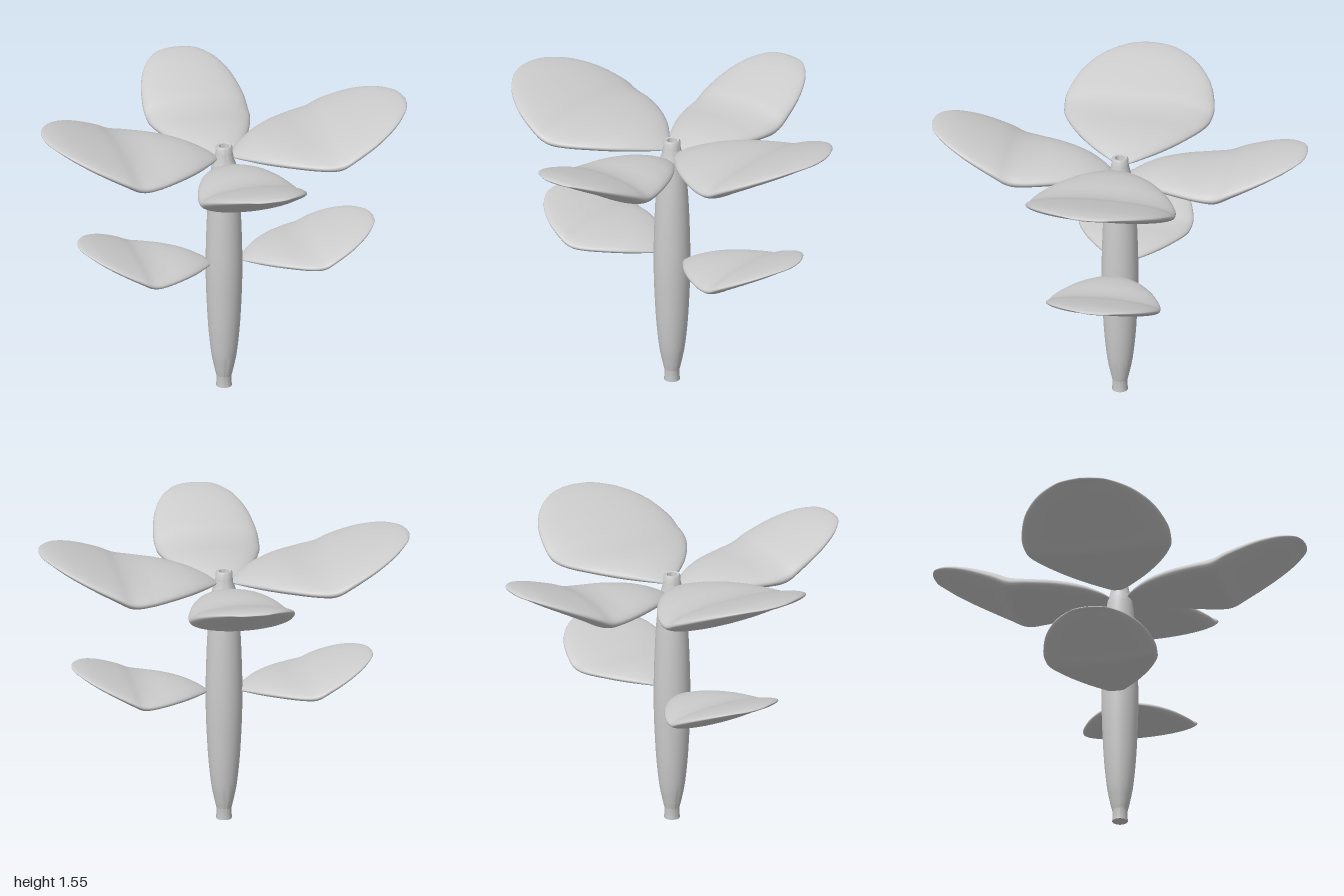
import * as THREE from 'three';
import { mergeVertices, toCreasedNormals } from 'three/addons/utils/BufferGeometryUtils.js';

const material = new THREE.MeshStandardMaterial({ color: 0xcccccc });

// Blade stations: fraction of length, relative half width, top and bottom height per unit rise
const STATIONS = [
  [0.00, 0.00, 0.11, 0.11],
  [0.01, 0.09, 0.15, 0.08],
  [0.06, 0.26, 0.25, 0.065],
  [0.16, 0.52, 0.37, 0.045],
  [0.29, 0.76, 0.44, 0.03],
  [0.43, 0.94, 0.47, 0.01],
  [0.53, 0.995, 0.54, 0.00],
  [0.62, 0.99, 0.67, 0.18],
  [0.76, 0.87, 0.84, 0.47],
  [0.88, 0.645, 0.96, 0.71],
  [0.96, 0.37, 1.00, 0.88],
  [0.99, 0.18, 0.99, 0.93],
  [1.00, 0.00, 0.97, 0.97],
];

// Thick leaf blade pointing along +x, swept from elliptical cross-sections
function bladeGeometry({ root, tip, halfWidth, base, rise, fullness = 1 }) {
  const spline = (f) => new THREE.CatmullRomCurve3(STATIONS.map(f), false, 'catmullrom', 0.5);
  const spine = spline(([u, w, t, b]) => new THREE.Vector3(u, (t + b) / 2, 0));
  const size = spline(([u, w, t, b]) => new THREE.Vector3(u, (t - b) / 2, w));
  const rings = 72, sides = 40, pos = [], index = [];
  for (let i = 0; i <= rings; i++) {
    const c = spine.getPoint(i / rings), s = size.getPoint(i / rings);
    const width = halfWidth * Math.pow(Math.max(s.z, 0), fullness);
    for (let j = 0; j < sides; j++) {
      const a = (j / sides) * Math.PI * 2;
      pos.push(
        root + c.x * (tip - root),
        base + rise * (c.y + Math.max(s.y, 0) * Math.sin(a)),
        width * Math.cos(a)
      );
      if (i < rings) {
        const k = (j + 1) % sides, p = i * sides, q = p + sides;
        index.push(p + j, q + j, p + k, q + j, q + k, p + k);
      }
    }
  }
  const g = new THREE.BufferGeometry();
  g.setAttribute('position', new THREE.Float32BufferAttribute(pos, 3));
  g.setIndex(index);
  const merged = mergeVertices(g, 1e-5);
  merged.computeVertexNormals();
  return merged;
}

export function createModel() {
  const group = new THREE.Group();
  const add = (name, geometry, turn = 0, x = 0) => {
    const mesh = new THREE.Mesh(geometry, material);
    mesh.name = name;
    mesh.rotation.y = turn;
    mesh.position.x = x;
    group.add(mesh);
  };

  // Swollen stem with narrow necks and a hollow top
  const belly = new THREE.SplineCurve([
    [0.04, 0.06], [0.052, 0.11], [0.07, 0.21], [0.087, 0.4], [0.097, 0.69],
    [0.088, 1.02], [0.07, 1.24], [0.054, 1.31], [0.046, 1.345],
  ].map(([r, y]) => new THREE.Vector2(r, y))).getPoints(48);
  const v = (r, y) => new THREE.Vector2(r, y);
  const profile = [v(0, 0), v(0.041, 0), ...belly,
    v(0.044, 1.38), v(0.038, 1.388), v(0.027, 1.385), v(0.022, 1.34), v(0, 1.34)];
  add('stem', toCreasedNormals(new THREE.LatheGeometry(profile, 40), 0.7));

  // Upper leaves: a wide pair at the sides, a narrower and lower pair front and back
  const wide = bladeGeometry({ root: 0.04, tip: 0.985, halfWidth: 0.396, base: 1.297, rise: 0.253 });
  const narrow = bladeGeometry({ root: 0.04, tip: 1, halfWidth: 0.276, base: 1.255, rise: 0.26, fullness: 0.8 });
  add('upperLeafLeft', wide);
  add('upperLeafRight', wide, Math.PI);
  add('upperLeafFront', narrow, -Math.PI / 2);
  add('upperLeafBack', narrow, Math.PI / 2);

  // Lower leaves
  const small = bladeGeometry({ root: 0.08, tip: 0.8, halfWidth: 0.302, base: 0.7, rise: 0.192 });
  add('lowerLeafLeft', small, 0, 0.01);
  add('lowerLeafRight', small, Math.PI, 0.01);

  return group;
}
